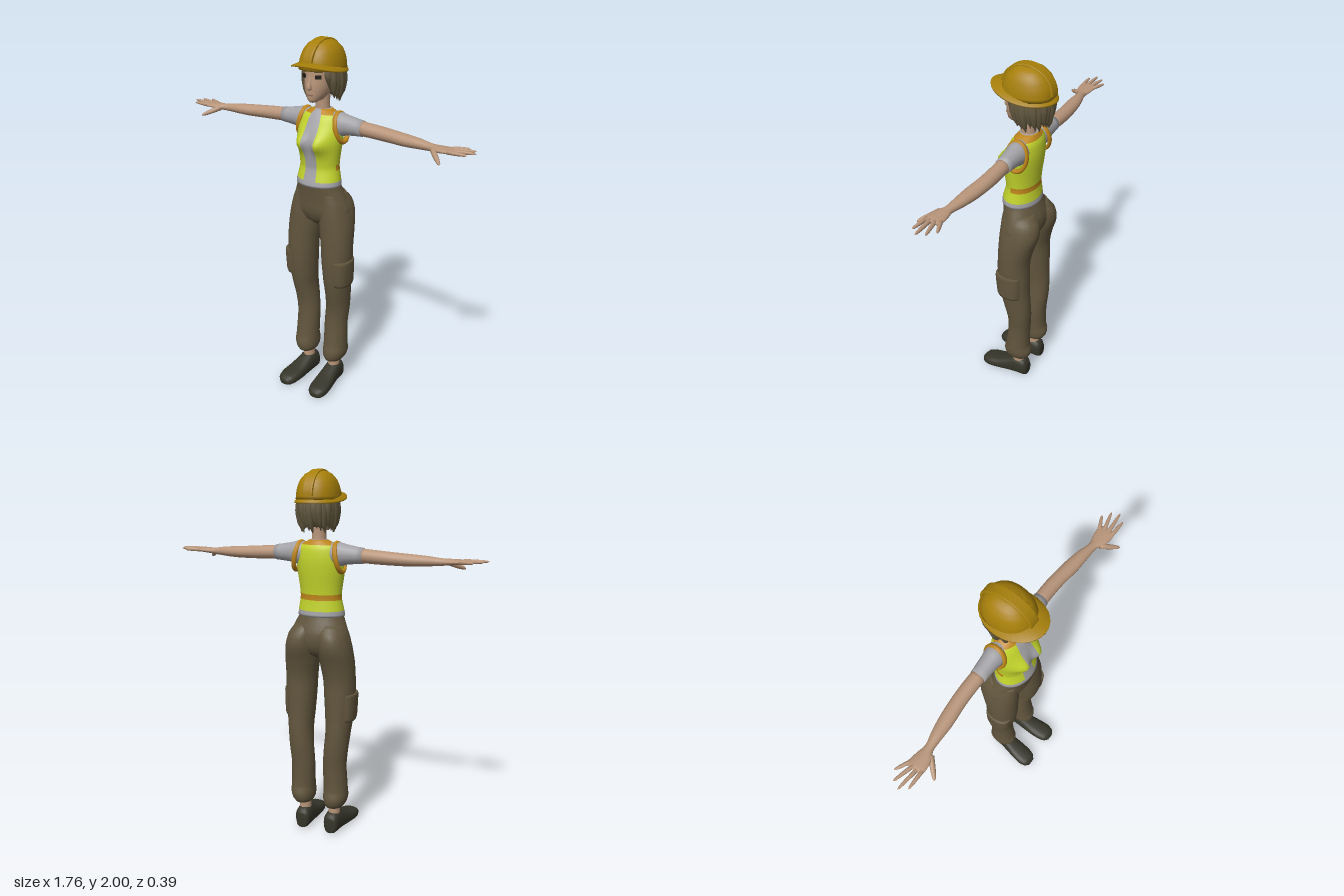
import * as THREE from 'three';

const mat = (name, color) => {
  const m = new THREE.MeshStandardMaterial({ color });
  m.name = name;
  return m;
};

// Cubic blend from b to c
function blend(a, b, c, d, t) {
  const k3 = 3 * (b - c) + d - a;
  const k2 = 2 * a - 5 * b + 4 * c - d;
  return b + 0.5 * t * (c - a + t * (k2 + t * k3));
}

// Smooth interpolation of section rows [y, centreX, radiusX, zFront, zBack]
function dense(rows, steps) {
  const out = [], end = rows.length - 1;
  for (let i = 0; i < end; i++) {
    const a = rows[Math.max(i - 1, 0)], b = rows[i], c = rows[i + 1], d = rows[Math.min(i + 2, end)];
    for (let s = 0; s < steps; s++) {
      const t = s / steps;
      out.push(b.map((v, k) => (k === 0 ? v + t * (c[0] - v) : blend(a[k], v, c[k], d[k], t))));
    }
  }
  out.push(rows[end]);
  return out;
}

// Skin over stacked superellipse sections, capped at both ends
function loft(rows, { n = 20, steps = 3, p = 2, pick = null, warp = null } = {}) {
  const rings = dense(rows, steps), pos = [], faces = [[], [], []];
  const pw = (v) => Math.sign(v) * Math.abs(v) ** (2 / p);
  const put = (x, y, z) => {
    const v = new THREE.Vector3(x, y, z);
    if (warp) warp(v);
    pos.push(v.x, v.y, v.z);
  };
  for (const [y, cx, rx, zf, zb] of rings) {
    for (let j = 0; j < n; j++) {
      const a = (j / n) * Math.PI * 2;
      put(cx + rx * pw(Math.sin(a)), y, (zf + zb) / 2 + ((zf - zb) / 2) * pw(Math.cos(a)));
    }
  }
  for (let i = 0; i < rings.length - 1; i++) {
    for (let j = 0; j < n; j++) {
      const a = i * n + j, b = i * n + (j + 1) % n;
      const m = pick ? pick((rings[i][0] + rings[i + 1][0]) / 2, ((j + 0.5) / n) * 360) : 0;
      faces[m].push(a, b, b + n, a, b + n, a + n);
    }
  }
  const last = (rings.length - 1) * n, c = last + n;
  for (const r of [rings[0], rings[rings.length - 1]]) put(r[1], r[0], (r[3] + r[4]) / 2);
  for (let j = 0; j < n; j++) {
    const k = (j + 1) % n;
    faces[0].push(c, k, j, c + 1, last + j, last + k);
  }
  const g = new THREE.BufferGeometry();
  g.setAttribute('position', new THREE.Float32BufferAttribute(pos, 3));
  g.setIndex(faces.flat());
  let start = 0;
  if (pick) faces.forEach((f, m) => { g.addGroup(start, f.length, m); start += f.length; });
  g.computeVertexNormals();
  return g;
}

export function createModel() {
  const skin = mat('skin', 0xb8957a), hairM = mat('hair', 0x62583f), helmet = mat('helmetYellow', 0xa67f0a);
  const vest = mat('vestLime', 0xc3d42c), shirt = mat('shirtGrey', 0xa3a2a6), trim = mat('trimOrange', 0xbd851a);
  const cloth = mat('trouserBrown', 0x61553d), shoeM = mat('shoeDark', 0x36352a);
  const dark = mat('eyeDark', 0x221d18), lip = mat('lip', 0x8f6552);
  const group = (parent, name) => {
    const o = new THREE.Group();
    o.name = name;
    parent.add(o);
    return o;
  };
  const add = (parent, name, geo, m) => {
    const o = new THREE.Mesh(geo, m);
    o.name = name;
    parent.add(o);
    return o;
  };
  const root = new THREE.Group();
  root.name = 'worker';

  // Torso: vest over a grey shirt, orange collar and back band
  const torso = loft([
    [1.243, 0, 0.130, 0.092, -0.106], [1.272, 0, 0.127, 0.086, -0.103], [1.33, 0, 0.116, 0.07, -0.097],
    [1.36, 0, 0.115, 0.07, -0.097], [1.42, 0, 0.122, 0.076, -0.103], [1.48, 0, 0.13, 0.077, -0.11],
    [1.54, 0, 0.13, 0.065, -0.114], [1.595, 0, 0.117, 0.04, -0.11], [1.62, 0, 0.1, 0.022, -0.1],
    [1.645, 0, 0.05, 0.002, -0.086]], {
    n: 40,
    pick: (y, a) => {
      if (y < 1.272 || a < 18 || a > 342) return 0;
      if (y > 1.618 || (y > 1.33 && y < 1.36 && a > 85 && a < 275)) return 2;
      return 1;
    },
    warp: (v) => {
      const dx = (Math.abs(v.x) - 0.055) / 0.042, dy = (v.y - 1.475) / 0.045;
      if (v.z > 0) v.z += 0.04 * Math.exp(-(dx * dx + dy * dy));
    },
  });
  add(root, 'torso', torso, [shirt, vest, trim]);
  add(root, 'neck', loft([[1.61, 0, 0.05, 0.005, -0.088], [1.65, 0, 0.038, 0, -0.078], [1.76, 0, 0.04, 0.005, -0.08]]), skin);

  // Head and face
  const head = group(root, 'head');
  add(head, 'face', loft([
    [1.688, 0, 0.016, 0.064, 0.025], [1.7, 0, 0.036, 0.073, -0.03], [1.73, 0, 0.056, 0.077, -0.07],
    [1.77, 0, 0.07, 0.078, -0.1], [1.82, 0, 0.077, 0.074, -0.12], [1.89, 0, 0.08, 0.072, -0.125]], { n: 28 }), skin);
  add(head, 'nose', loft([
    [1.752, 0, 0.01, 0.08, 0.065], [1.762, 0, 0.014, 0.096, 0.065],
    [1.8, 0, 0.008, 0.084, 0.06], [1.83, 0, 0.005, 0.073, 0.06]], { n: 10 }), skin);
  add(head, 'mouth', new THREE.BoxGeometry(0.034, 0.006, 0.008), lip).position.set(0, 1.728, 0.074);
  for (const s of [-1, 1]) {
    const eye = add(head, 'eye', new THREE.BoxGeometry(0.03, 0.019, 0.008), dark);
    eye.position.set(s * 0.043, 1.82, 0.06);
    const brow = add(head, 'eyebrow', new THREE.BoxGeometry(0.042, 0.007, 0.008), hairM);
    brow.position.set(s * 0.043, 1.845, 0.06);
    eye.rotation.y = brow.rotation.y = s * 0.6;
  }

  // Hair: inner cap with hanging pointed locks
  const hair = group(root, 'hair');
  add(hair, 'hairCap', loft([
    [1.715, 0, 0.06, -0.05, -0.135], [1.75, 0, 0.086, 0.015, -0.158], [1.9, 0, 0.094, 0.045, -0.16]]), hairM);
  const locks = group(hair, 'hairLocks');
  locks.position.z = -0.05;
  locks.scale.z = 1.1;
  for (let i = 0; i < 19; i++) {
    const lift = i === 0 || i === 18 ? 0.06 : [0, 0.022, 0.01][i % 3], out = (i % 2) * 0.005;
    const lock = add(locks, 'hairLock', loft([
      [1.685 + lift, 0.012, 0.002, 0.083 + out, 0.079], [1.72 + lift, 0.006, 0.013, 0.1 + out, 0.072],
      [1.79 + lift / 2, 0, 0.022, 0.111 + out, 0.075], [1.875, 0, 0.022, 0.1 + out, 0.065]], { n: 10 }), hairM);
    lock.rotation.y = THREE.MathUtils.degToRad(52 + (i / 18) * 256);
  }

  // Hard hat: dome, centre ridge and sloping brim
  const hat = group(root, 'hardHat');
  add(hat, 'dome', loft([
    [1.85, 0, 0.111, 0.096, -0.176], [1.9, 0, 0.105, 0.088, -0.17], [1.945, 0, 0.09, 0.066, -0.15],
    [1.975, 0, 0.066, 0.035, -0.118], [1.99, 0, 0.036, 0.002, -0.084],
    [1.994, 0, 0.004, -0.035, -0.047]], { n: 32, p: 2.2 }), helmet);
  const arc = new THREE.Shape();
  arc.absellipse(0, 0, 0.138, 0.124, 0, Math.PI);
  const ridgeGeo = new THREE.ExtrudeGeometry(arc, {
    depth: 0.044, bevelEnabled: true, bevelSize: 0.004, bevelThickness: 0.006, bevelSegments: 2, curveSegments: 24 });
  ridgeGeo.translate(0, 0, -0.022);
  const ridge = add(hat, 'ridge', ridgeGeo, helmet);
  ridge.rotation.y = Math.PI / 2;
  ridge.position.set(0, 1.872, -0.04);
  const slope = (v) => { v.y += 0.012 + v.z * 0.14 - 0.9 * v.x * v.x; };
  add(hat, 'brim', loft([
    [1.849, 0, 0.104, 0.085, -0.168], [1.846, 0, 0.127, 0.157, -0.189],
    [1.853, 0, 0.127, 0.157, -0.189], [1.87, 0, 0.105, 0.088, -0.17]], { n: 32, steps: 1, warp: slope }), helmet);

  // Hips
  add(root, 'hips', loft([
    [1.01, 0, 0.03, 0.02, -0.06], [1.04, 0, 0.13, 0.05, -0.105], [1.09, 0, 0.178, 0.07, -0.13],
    [1.15, 0, 0.164, 0.075, -0.133], [1.2, 0, 0.143, 0.08, -0.118], [1.256, 0, 0.12, 0.087, -0.098]], { n: 32 }), cloth);

  // Limbs, made on the left and mirrored
  for (const s of [1, -1]) {
    const side = group(root, s > 0 ? 'leftLimbs' : 'rightLimbs');
    side.scale.x = s;

    add(side, 'trouserLeg', loft([
      [0.16, 0.095, 0.05, 0.035, -0.1], [0.18, 0.097, 0.061, 0.045, -0.112], [0.215, 0.1, 0.068, 0.047, -0.117],
      [0.26, 0.1, 0.067, 0.035, -0.105], [0.4, 0.097, 0.066, 0.02, -0.107], [0.5, 0.105, 0.067, 0.022, -0.115],
      [0.6, 0.113, 0.068, 0.045, -0.115], [0.68, 0.115, 0.075, 0.06, -0.11], [0.8, 0.115, 0.084, 0.07, -0.108],
      [0.9, 0.112, 0.088, 0.07, -0.108], [1.0, 0.103, 0.093, 0.068, -0.13], [1.08, 0.095, 0.089, 0.066, -0.154],
      [1.15, 0.085, 0.079, 0.062, -0.146], [1.2, 0.07, 0.068, 0.06, -0.108]], { n: 24, p: 2.1 }), cloth);
    add(side, 'thighPocket', loft([
      [0.672, 0.148, 0.052, 0.052, -0.085], [0.69, 0.15, 0.055, 0.058, -0.088],
      [0.81, 0.152, 0.057, 0.066, -0.088], [0.825, 0.152, 0.054, 0.064, -0.086]], { n: 24, p: 2.5, steps: 2 }), cloth);
    add(side, 'ankle', loft([[0.08, 0.09, 0.034, 0.005, -0.072], [0.2, 0.091, 0.031, 0, -0.068]]), skin);
    add(side, 'shoe', loft([
      [-0.097, 0.088, 0.03, -0.006, -0.09], [-0.08, 0.088, 0.042, 0, -0.116], [-0.03, 0.09, 0.046, 0, -0.125],
      [0.02, 0.094, 0.05, 0, -0.105], [0.08, 0.1, 0.056, 0, -0.08], [0.14, 0.106, 0.057, 0, -0.066],
      [0.18, 0.108, 0.046, 0, -0.055], [0.198, 0.108, 0.025, -0.008, -0.036]], { n: 24, p: 2.6 }), shoeM).rotation.x = Math.PI / 2;

    const lay = (name, rows, m) => { add(side, name, loft(rows), m).rotation.z = -Math.PI / 2; };
    lay('sleeve', [
      [0.05, -1.575, 0.055, 0.005, -0.088], [0.115, -1.572, 0.063, 0.014, -0.094],
      [0.16, -1.573, 0.052, 0.007, -0.087], [0.25, -1.57, 0.041, 0.001, -0.08]], shirt);
    lay('arm', [
      [0.235, -1.57, 0.037, -0.002, -0.077], [0.32, -1.566, 0.036, -0.003, -0.078], [0.4, -1.562, 0.034, 0, -0.075],
      [0.5, -1.558, 0.031, 0.01, -0.065], [0.58, -1.557, 0.026, 0.011, -0.05], [0.65, -1.555, 0.019, 0.014, -0.032],
      [0.69, -1.556, 0.016, 0.037, -0.04], [0.75, -1.559, 0.012, 0.045, -0.046], [0.77, -1.56, 0.008, 0.036, -0.036]], skin);
    const armhole = add(side, 'armholeTrim', new THREE.TorusGeometry(0.066, 0.011, 8, 28), trim);
    armhole.scale.set(0.85, 1.15, 1.3);
    armhole.position.set(0.117, 1.555, -0.04);
    armhole.rotation.set(0, Math.PI / 2, 0.2, 'ZYX');

    // Fingers and thumb: base point, then tip
    [[0.745, 1.56, -0.035, 0.82, 1.562, -0.07], [0.755, 1.561, -0.013, 0.862, 1.566, -0.04],
      [0.76, 1.561, 0.01, 0.88, 1.567, 0], [0.75, 1.56, 0.033, 0.85, 1.563, 0.037],
      [0.672, 1.553, 0.02, 0.747, 1.515, 0.095]].forEach(([x, y, z, tx, ty, tz], i) => {
      const from = new THREE.Vector3(x, y, z), dir = new THREE.Vector3(tx, ty, tz).sub(from), len = dir.length();
      const r = i === 4 ? 0.0145 : 0.0105;
      const rows = [[0, 1], [0.6, 0.85], [0.92, 0.55], [1, 0.15]].map(([t, k]) => [len * t, 0, r * k, r * k, -r * k]);
      const digit = add(side, i === 4 ? 'thumb' : 'finger', loft(rows, { n: 10, steps: 2 }), skin);
      digit.position.copy(from);
      digit.quaternion.setFromUnitVectors(new THREE.Vector3(0, 1, 0), dir.normalize());
    });
  }
  return root;
}
